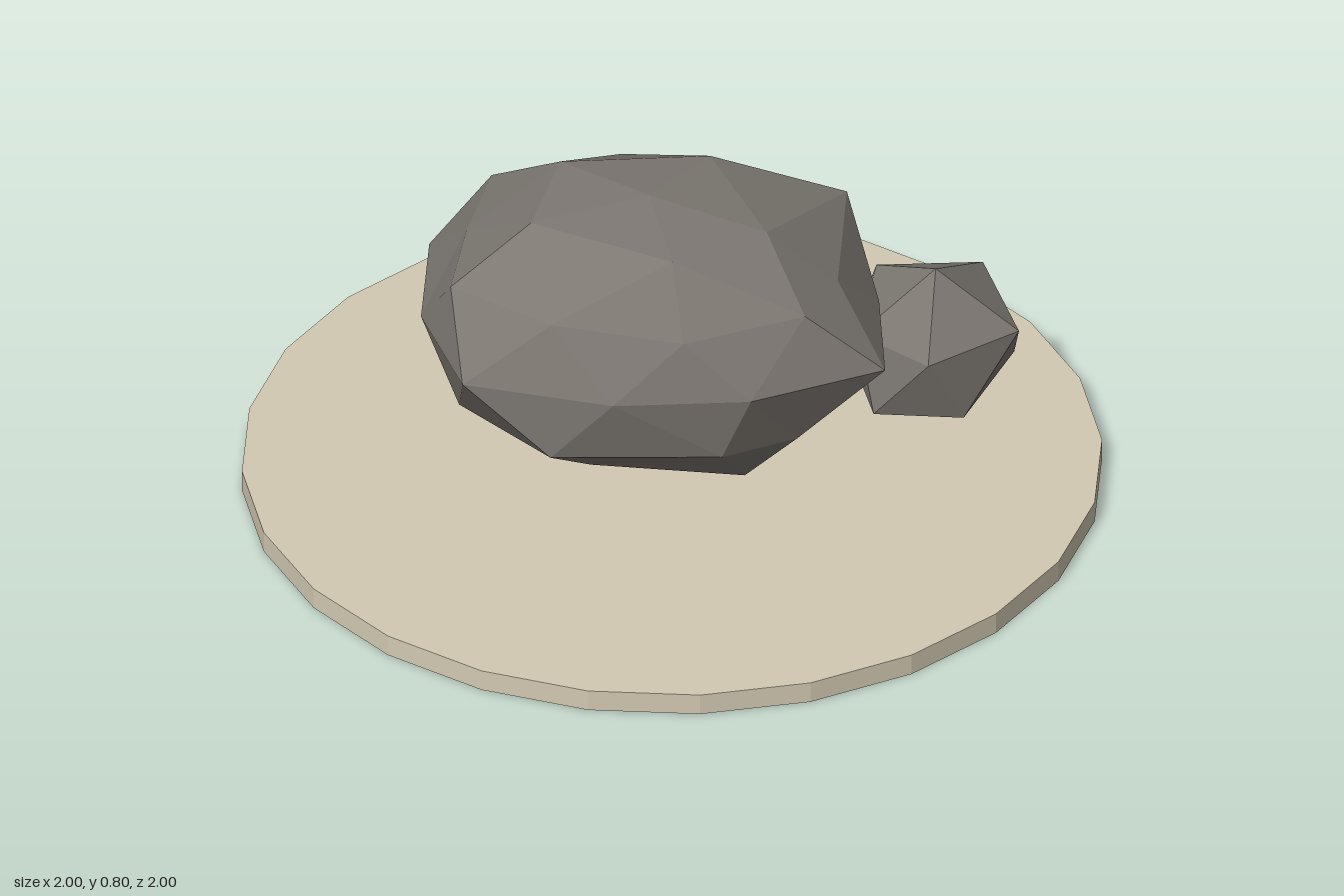
import * as THREE from 'three';

const stone = new THREE.MeshStandardMaterial({ color: 0x7c7771, flatShading: true });
stone.name = 'grey stone';
const sand = new THREE.MeshStandardMaterial({ color: 0xd2c9b2, flatShading: true });
sand.name = 'pale sand';

// Flat shaded mesh from a list of triangles, each made of three [x, y, z] corners
function facetMesh(name, triangles) {
  const geometry = new THREE.BufferGeometry();
  geometry.setAttribute('position', new THREE.Float32BufferAttribute(triangles.flat(2), 3));
  geometry.computeVertexNormals();
  const mesh = new THREE.Mesh(geometry, stone);
  mesh.name = name;
  return mesh;
}

// Large boulder: irregular rings of 5, 10, 10, 10 and 5 corners between two poles
function boulder() {
  const top = [-0.05, 0.795, 0.03];
  const cap = [[0.24, 0.76, 0.08], [0.05, 0.765, -0.2], [-0.28, 0.785, -0.08], [-0.3, 0.775, 0.17], [0.05, 0.765, 0.25]];
  const upper = [
    [0.4, 0.62, 0.04], [0.36, 0.66, -0.27], [0.11, 0.63, -0.37], [-0.19, 0.64, -0.35], [-0.47, 0.63, -0.22],
    [-0.48, 0.64, 0.02], [-0.47, 0.64, 0.27], [-0.21, 0.64, 0.38], [0.1, 0.62, 0.37], [0.36, 0.64, 0.23]];
  const middle = [
    [0.54, 0.48, 0.18], [0.47, 0.48, -0.1], [0.3, 0.46, -0.38], [-0.05, 0.48, -0.44], [-0.36, 0.48, -0.33],
    [-0.6, 0.48, -0.13], [-0.56, 0.48, 0.17], [-0.41, 0.48, 0.43], [-0.05, 0.48, 0.45], [0.26, 0.48, 0.37]];
  const lower = [
    [0.38, 0.28, 0.03], [0.32, 0.3, -0.2], [0.14, 0.29, -0.34], [-0.18, 0.31, -0.36], [-0.42, 0.31, -0.22],
    [-0.5, 0.3, 0], [-0.46, 0.28, 0.22], [-0.2, 0.31, 0.44], [0.19, 0.31, 0.36], [0.34, 0.29, 0.22]];
  const foot = [[0.22, 0.17, -0.1], [-0.1, 0.16, -0.17], [-0.38, 0.14, 0.02], [-0.14, 0.18, 0.26], [0.21, 0.15, 0.19]];
  const bottom = [-0.05, 0.135, 0.03];

  const t = [];
  for (let k = 0; k < 5; k++) {
    const n = (k + 1) % 5, a = 2 * k, b = a + 1, c = (a + 2) % 10;
    t.push([top, cap[k], cap[n]], [cap[k], upper[a], upper[b]],
      [cap[k], upper[b], cap[n]], [cap[n], upper[b], upper[c]]);
    t.push([bottom, foot[n], foot[k]], [foot[k], lower[b], lower[a]],
      [foot[k], lower[c], lower[b]], [foot[k], foot[n], lower[c]]);
  }
  for (let j = 0; j < 10; j++) {
    const n = (j + 1) % 10;
    t.push([upper[j], middle[j], middle[n]], [upper[j], middle[n], upper[n]],
      [middle[j], lower[j], middle[n]], [middle[n], lower[j], lower[n]]);
  }
  return facetMesh('largeBoulder', t);
}

// Small rock: a distorted twenty-sided stone
function smallRock() {
  const top = [0.59, 0.54, -0.17], bottom = [0.54, 0.08, -0.28];
  const upper = [[0.785, 0.385, -0.18], [0.66, 0.43, -0.38], [0.42, 0.43, -0.32], [0.42, 0.38, -0.1], [0.6, 0.36, -0.03]];
  const lower = [[0.74, 0.21, -0.35], [0.52, 0.26, -0.46], [0.36, 0.25, -0.25], [0.465, 0.19, -0.06], [0.67, 0.18, -0.1]];
  const t = [];
  for (let k = 0; k < 5; k++) {
    const n = (k + 1) % 5;
    t.push([top, upper[k], upper[n]], [upper[k], lower[k], upper[n]],
      [upper[n], lower[k], lower[n]], [bottom, lower[n], lower[k]]);
  }
  return facetMesh('smallRock', t);
}

export function createModel() {
  const model = new THREE.Group();
  model.name = 'rocksOnBase';

  // Round ground plate
  const base = new THREE.Mesh(new THREE.CylinderGeometry(1, 1, 0.053, 24), sand);
  base.name = 'groundDisc';
  base.position.y = 0.0265;

  model.add(base, boulder(), smallRock());
  return model;
}
